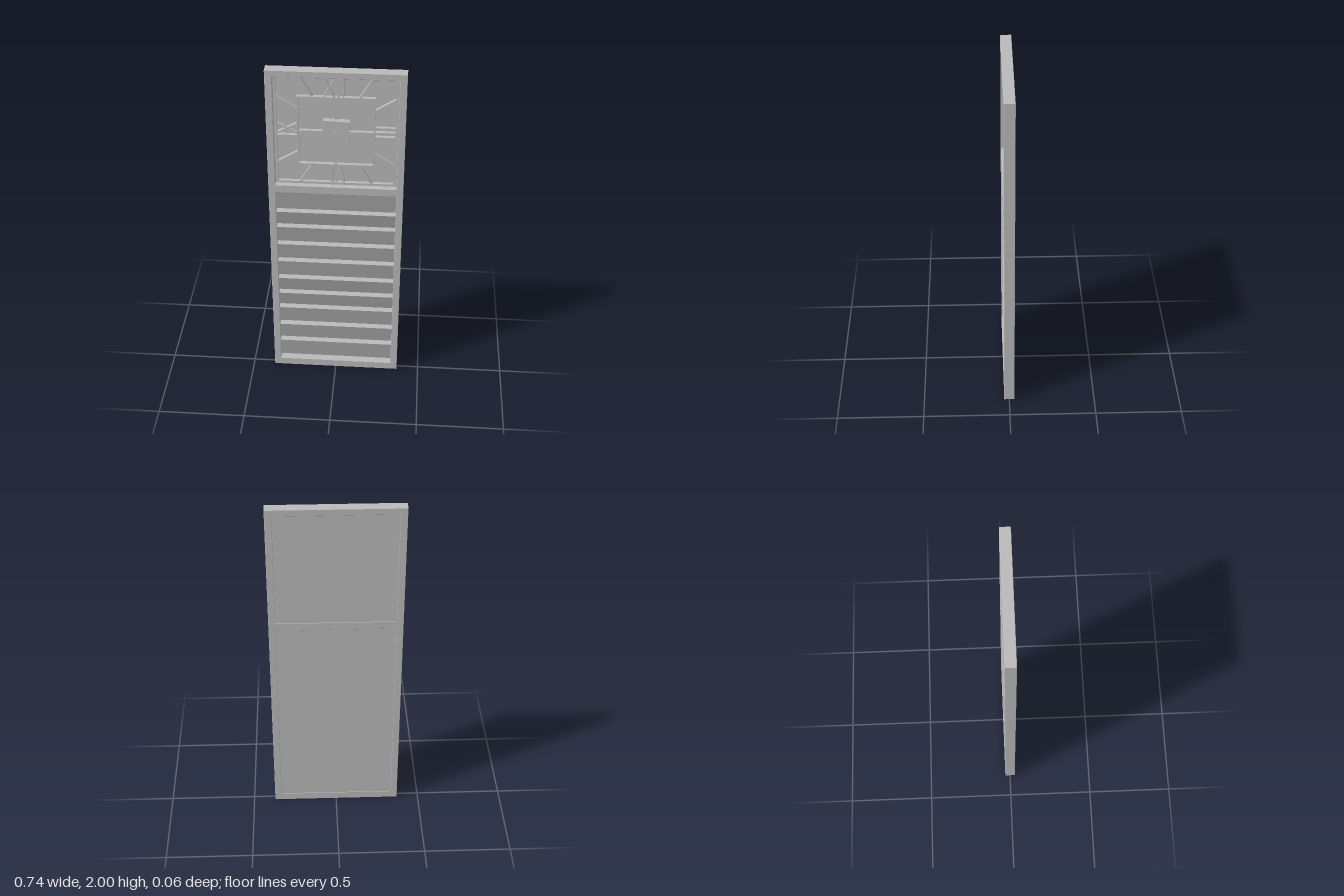
import * as THREE from 'three';

const grey = new THREE.MeshStandardMaterial({ color: 0xb8b8b8 });
const OPEN = 0.333;            // half width of both openings
const CY = 1.63;               // centre height of the dial
const FLOOR = -0.02;           // dial background depth

function rectPath(Type, x0, y0, x1, y1) {
  const p = new Type();
  p.moveTo(x0, y0);
  p.lineTo(x1, y0);
  p.lineTo(x1, y1);
  p.lineTo(x0, y1);
  p.closePath();
  return p;
}

function add(parent, name, geometry) {
  const mesh = new THREE.Mesh(geometry, grey);
  mesh.name = name;
  parent.add(mesh);
  return mesh;
}

function box(parent, name, x0, y0, z0, x1, y1, z1) {
  const mesh = add(parent, name, new THREE.BoxGeometry(x1 - x0, y1 - y0, z1 - z0));
  mesh.position.set((x0 + x1) / 2, (y0 + y1) / 2, (z0 + z1) / 2);
  return mesh;
}

// Flat square ring around the dial centre, rising from the dial floor
function ring(parent, name, outer, width, top) {
  const shape = rectPath(THREE.Shape, -outer, -outer, outer, outer);
  const i = outer - width;
  shape.holes.push(rectPath(THREE.Path, -i, -i, i, i));
  const mesh = add(parent, name, new THREE.ExtrudeGeometry(shape, { depth: top - FLOOR, bevelEnabled: false }));
  mesh.position.set(0, CY, FLOOR);
}

// Raised bar between two points given relative to the dial centre
function bar(parent, name, x0, y0, x1, y1, width = 0.011, top = 0) {
  const length = Math.hypot(x1 - x0, y1 - y0);
  const mesh = add(parent, name, new THREE.BoxGeometry(length, width, top - FLOOR));
  mesh.position.set((x0 + x1) / 2, CY + (y0 + y1) / 2, (top + FLOOR) / 2);
  mesh.rotation.z = Math.atan2(y1 - y0, x1 - x0);
}

export function createModel() {
  const model = new THREE.Group();
  model.name = 'wallClock';

  // Outer frame with a dial opening and a slatted opening
  const outline = rectPath(THREE.Shape, -0.372, 0, 0.372, 2);
  outline.holes.push(rectPath(THREE.Path, -OPEN, 0.048, OPEN, 1.252));
  outline.holes.push(rectPath(THREE.Path, -OPEN, 1.3, OPEN, 1.963));
  const frame = add(model, 'frame', new THREE.ExtrudeGeometry(outline, {
    depth: 0.056, bevelEnabled: true, bevelThickness: 0.002, bevelSize: 0.002, bevelOffset: -0.002, bevelSegments: 1,
  }));
  frame.position.z = -0.028;

  // Back panel, set in slightly from the rear
  box(model, 'backPanel', -OPEN, 0.048, -0.028, OPEN, 1.963, FLOOR);

  // Louvre slats: top edge forward, bottom edge leaning back
  const slats = new THREE.Group();
  slats.name = 'slats';
  model.add(slats);
  const edges = [1.252, 1.119, 1.016, 0.897, 0.777, 0.655, 0.546, 0.438, 0.31, 0.186, 0.048];
  for (let i = 0; i < edges.length - 1; i++) {
    const profile = new THREE.Shape([
      new THREE.Vector2(-0.021, edges[i + 1]),
      new THREE.Vector2(-0.014, edges[i + 1]),
      new THREE.Vector2(0.024, edges[i]),
      new THREE.Vector2(-0.021, edges[i]),
    ]);
    const geometry = new THREE.ExtrudeGeometry(profile, { depth: 2 * OPEN, bevelEnabled: false });
    geometry.rotateY(-Math.PI / 2);
    geometry.translate(OPEN, 0, 0);
    add(slats, 'slat', geometry);
  }

  // Dial: outer and inner square rings, cross bars
  const dial = new THREE.Group();
  dial.name = 'dial';
  model.add(dial);
  ring(dial, 'dialBorder', 0.332, 0.015, 0);
  ring(dial, 'innerRing', 0.21, 0.01, 0.002);
  bar(dial, 'crossBar', -0.2, 0, 0.2, 0, 0.009, 0);
  bar(dial, 'crossBar', 0, -0.2, 0, 0.2, 0.009, 0);

  // Centre plate with a slight twist, and its hub
  const plate = box(dial, 'centrePlate', -0.072, CY - 0.072, FLOOR, 0.072, CY + 0.072, 0.012);
  plate.rotation.z = -0.03;
  const hub = add(dial, 'hub', new THREE.CylinderGeometry(0.009, 0.009, 0.01, 12));
  hub.rotation.x = Math.PI / 2;
  hub.position.set(0, CY, 0.014);

  // Slanted hour bars, mirrored into all four corners
  const A = 0.205, B = 0.322;
  for (const sx of [-1, 1]) {
    for (const sy of [-1, 1]) {
      bar(dial, 'hourBar', sx * 0.125, sy * A, sx * 0.197, sy * B);
      bar(dial, 'hourBar', sx * A, sy * 0.13, sx * B, sy * 0.203);
    }
  }

  // Hour marks built from bars: top, right, bottom, left
  const marks = [
    [-0.064, B, -0.008, A], [-0.008, B, -0.064, A], [0.016, A, 0.016, B], [0.038, A, 0.038, B],
    [A, 0.03, B, 0.03], [A, 0.002, B, 0.002], [A, -0.027, B, -0.027],
    [-0.02, -A, -0.02, -B], [0.021, -A, 0.0, -B], [0.021, -A, 0.046, -B],
    [-B, 0.045, -A, -0.018], [-B, -0.018, -A, 0.045], [-B, -0.03, -A, -0.03],
  ];
  for (const m of marks) bar(dial, 'hourMark', ...m, 0.009);

  return model;
}
